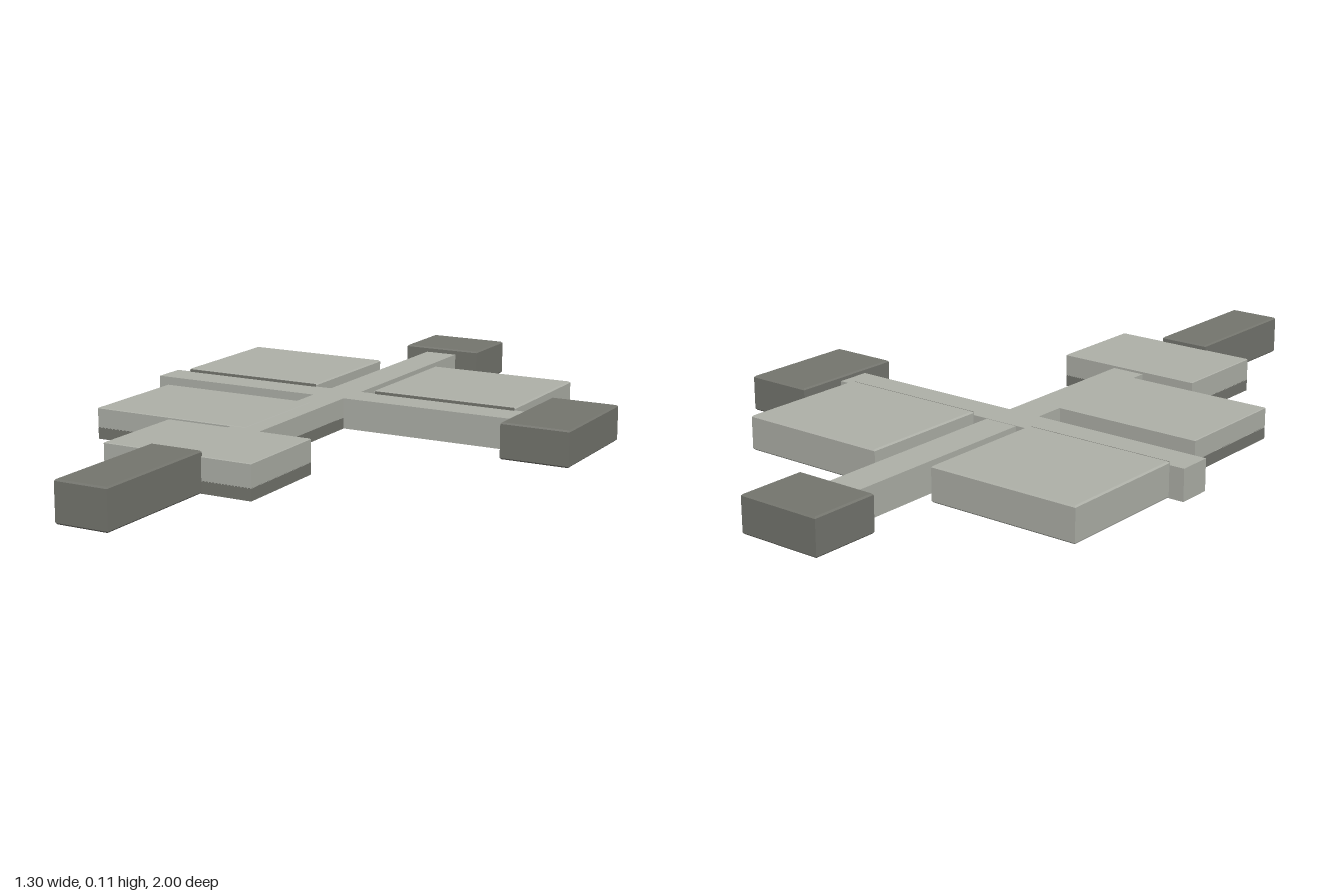
import * as THREE from 'three';

const light = new THREE.MeshStandardMaterial({ color: 0xaeb0a8 });
light.name = 'pale grey';
const dark = new THREE.MeshStandardMaterial({ color: 0x74756e });
dark.name = 'dark grey';

// Outline given as [x, z] points, extruded upward from y0 to y1 with a fine chamfer
function prism(points, y0, y1, bevel) {
  const shape = new THREE.Shape(points.map(([x, z]) => new THREE.Vector2(x, -z)));
  const geometry = new THREE.ExtrudeGeometry(shape, {
    depth: y1 - y0 - 2 * bevel,
    bevelEnabled: bevel > 0,
    bevelThickness: bevel,
    bevelSize: bevel,
    bevelOffset: -bevel,
    bevelSegments: 1,
  });
  return geometry.rotateX(-Math.PI / 2).translate(0, y0 + bevel, 0);
}

export function createModel() {
  const model = new THREE.Group();

  function add(name, geometry, material) {
    const mesh = new THREE.Mesh(geometry, material);
    mesh.name = name;
    model.add(mesh);
    return mesh;
  }
  function block(name, material, x0, x1, z0, z1, y0, y1, bevel = 0.004) {
    const outline = [[x0, z1], [x1, z1], [x1, z0], [x0, z0]];
    return add(name, prism(outline, y0, y1, bevel), material);
  }

  // Crossing corridors
  block('rearCorridor', light, -0.143, -0.048, -0.82, -0.13, 0, 0.083, 0);
  block('crossCorridor', light, -0.65, 0.47, -0.212, -0.118, 0, 0.084, 0);
  block('frontCorridor', light, -0.143, -0.048, -0.13, 0.36, 0.03, 0.084, 0);

  // Rear pair of halls, each with a dark wall facing the cross corridor
  for (const [name, x0, x1] of [['rearRightHall', -0.608, -0.184], ['rearLeftHall', -0.004, 0.419]]) {
    block(name, light, x0, x1, -0.584, -0.21, 0, 0.093);
    block(name + 'FrontWall', dark, x0 + 0.004, x1 - 0.004, -0.212, -0.207, 0.002, 0.091, 0);
  }

  // Front halls
  block('sideHall', light, -0.56, -0.1, -0.028, 0.301, 0.03, 0.085, 0.002);
  block('frontHall', light, -0.305, 0.117, 0.344, 0.624, 0.03, 0.092, 0.002);

  // Dark plinth walls under the front halls and their corridor
  const plinth = [
    [-0.305, 0.624], [0.117, 0.624], [0.117, 0.344], [-0.048, 0.344],
    [-0.048, -0.118], [-0.143, -0.118], [-0.143, -0.028], [-0.56, -0.028],
    [-0.56, 0.301], [-0.143, 0.301], [-0.143, 0.344], [-0.305, 0.344],
  ];
  add('frontPlinth', prism(plinth, 0, 0.031, 0), [light, dark]);

  // Dark end blocks
  block('rearEndBlock', dark, -0.21, 0.022, -1, -0.811, 0, 0.098);
  block('leftEndBlock', dark, 0.461, 0.65, -0.353, -0.02, 0, 0.097);
  block('frontEndBlock', dark, -0.167, -0.022, 0.62, 1, 0, 0.106);

  return model;
}
